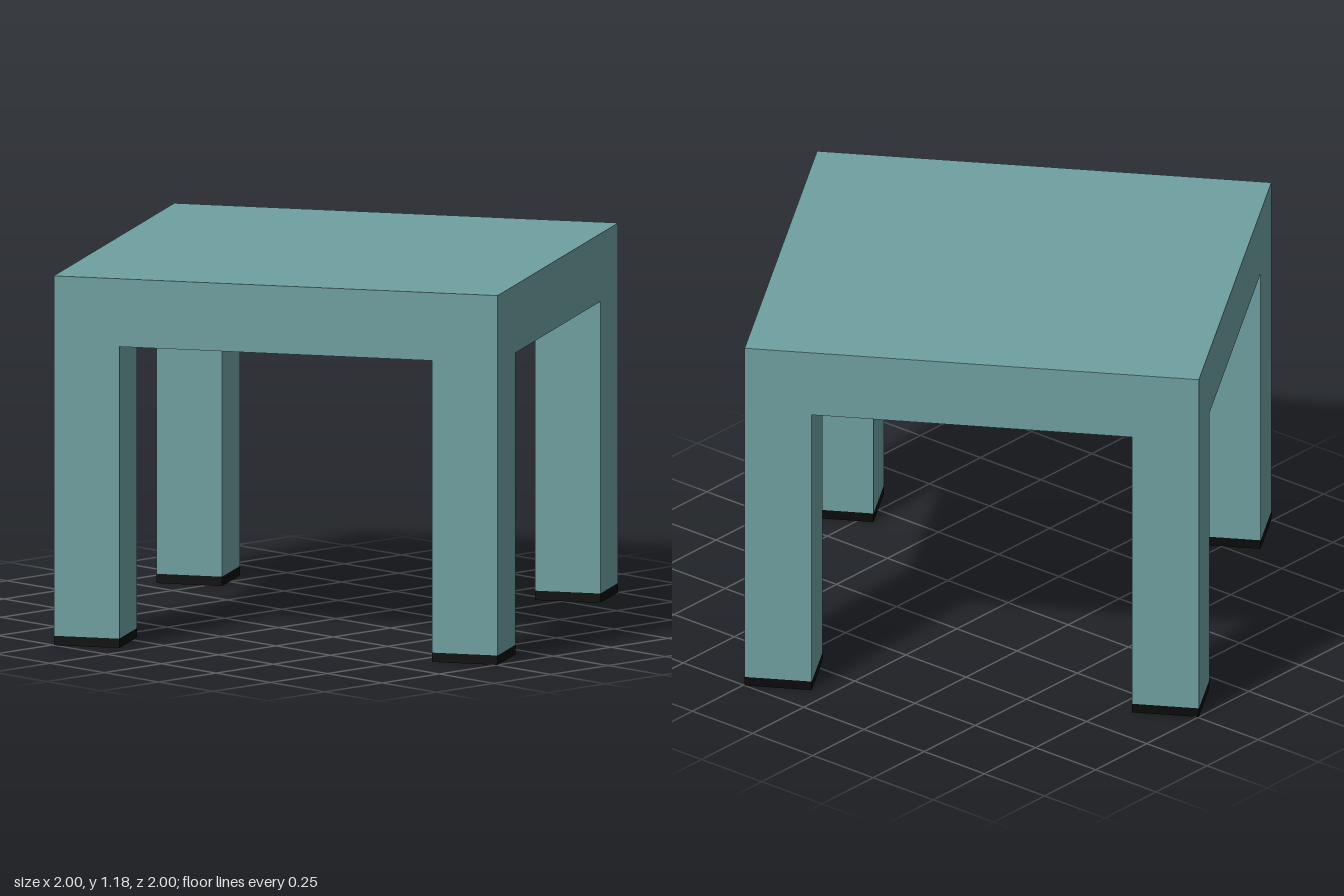
import * as THREE from 'three';

const HALF = 0.728;   // half the side of the square top
const LEG = 0.215;    // leg thickness
const TOP = 1.185;
const UNDER = 0.967;
const BAND = 0.03;    // height of the foot band
const TURN = Math.atan2(0.755, 1.245);

export function createModel() {
  const teal = new THREE.MeshStandardMaterial({ color: 0x6fa0a0, side: THREE.DoubleSide });
  teal.name = 'tealPaint';
  const black = new THREE.MeshStandardMaterial({ color: 0x0a0a0a, side: THREE.DoubleSide });
  black.name = 'blackFoot';

  const model = new THREE.Group();
  model.name = 'table';
  const add = (parent, name, geometry, material) => {
    const mesh = new THREE.Mesh(geometry, material);
    mesh.name = name;
    parent.add(mesh);
    return mesh;
  };
  const outline = (points) =>
    new THREE.ShapeGeometry(new THREE.Shape(points.map(([x, y]) => new THREE.Vector2(x, y))));

  // Table top
  const body = new THREE.Group();
  body.name = 'tableBody';
  body.rotation.y = TURN;
  model.add(body);
  const top = add(body, 'tableTop', new THREE.PlaneGeometry(2 * HALF, 2 * HALF), teal);
  top.rotation.x = -Math.PI / 2;
  top.position.y = TOP;

  // Underside, left open where the hollow legs run up
  const i = HALF - LEG, h = HALF;
  const under = add(body, 'underside', outline([
    [-i, -h], [i, -h], [i, -i], [h, -i], [h, i], [i, i],
    [i, h], [-i, h], [-i, i], [-h, i], [-h, -i], [-i, -i],
  ]), teal);
  under.rotation.x = Math.PI / 2;
  under.position.y = UNDER;

  // Each side: an arched outer panel, plus one hollow leg at its right corner
  for (let k = 0; k < 4; k++) {
    const side = new THREE.Group();
    side.name = 'side' + (k + 1);
    side.rotation.y = k * Math.PI / 2;
    body.add(side);

    const panel = add(side, 'sidePanel', outline([
      [-h, BAND], [-i, BAND], [-i, UNDER], [i, UNDER],
      [i, BAND], [h, BAND], [h, TOP], [-h, TOP],
    ]), teal);
    panel.position.z = HALF;

    const legCentre = HALF - LEG / 2;
    const legHeight = UNDER - BAND;
    const legMid = (UNDER + BAND) / 2;
    const back = add(side, 'legInnerBack', new THREE.PlaneGeometry(LEG, legHeight), teal);
    back.rotation.y = Math.PI;
    back.position.set(legCentre, legMid, i);
    const flank = add(side, 'legInnerFlank', new THREE.PlaneGeometry(LEG, legHeight), teal);
    flank.rotation.y = -Math.PI / 2;
    flank.position.set(i, legMid, legCentre);

    // Open foot band
    for (let f = 0; f < 4; f++) {
      const a = f * Math.PI / 2;
      const band = add(side, 'footBand', new THREE.PlaneGeometry(LEG, BAND), black);
      band.rotation.y = a;
      band.position.set(
        legCentre + Math.sin(a) * LEG / 2, BAND / 2, legCentre + Math.cos(a) * LEG / 2);
    }
  }
  return model;
}
